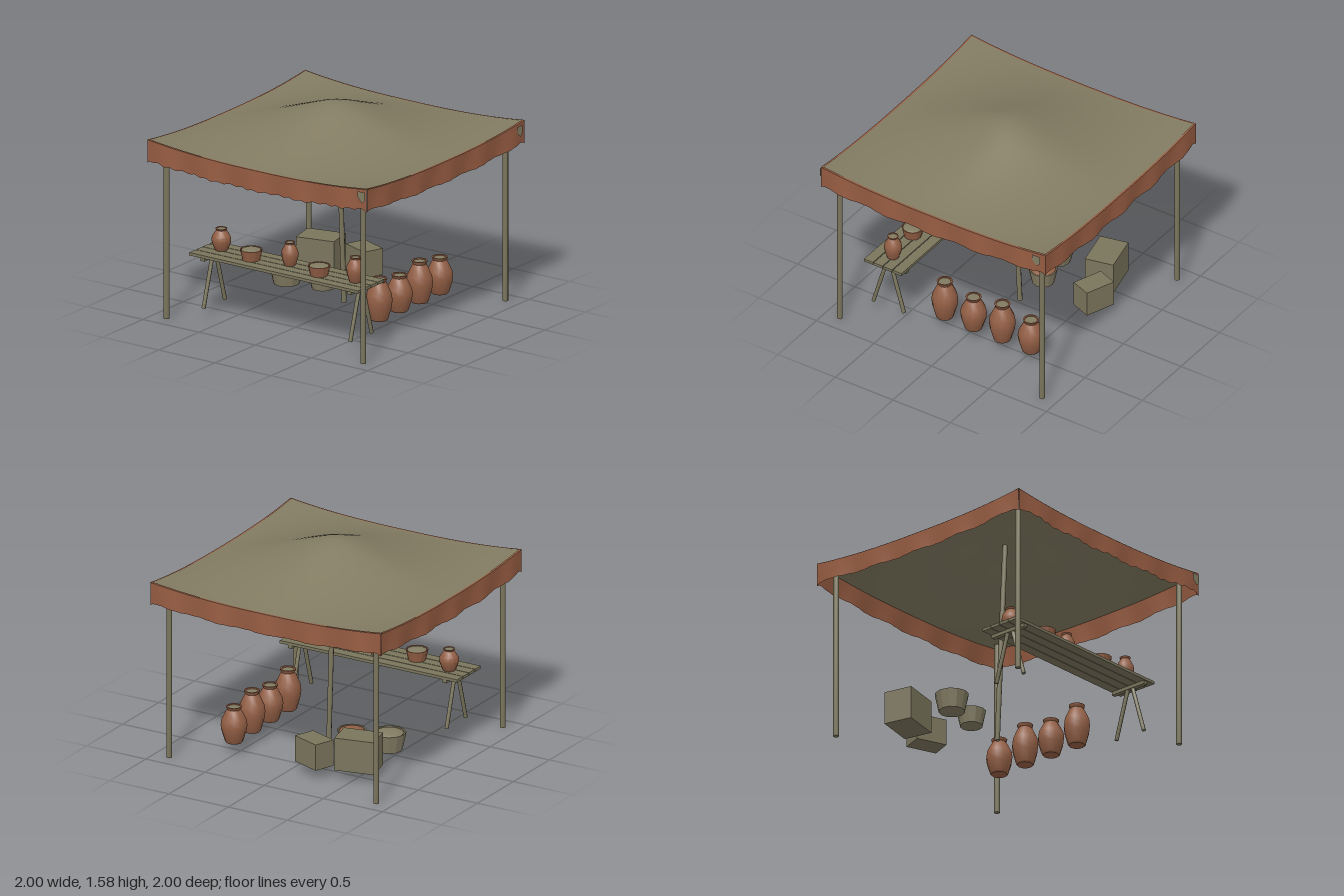
import * as THREE from 'three';
import { toCreasedNormals } from 'three/addons/utils/BufferGeometryUtils.js';

const mat = (name, color, side = THREE.FrontSide) => {
  const m = new THREE.MeshStandardMaterial({ color, side });
  m.name = name;
  return m;
};

export function createModel() {
  const group = new THREE.Group();
  const canvas = mat('olive canvas', 0x827b62, THREE.DoubleSide);
  const wood = mat('weathered wood', 0x7a755c);
  const clay = mat('brown clay', 0x935f45, THREE.DoubleSide);
  const trim = mat('brown cloth', 0x935a40, THREE.DoubleSide);

  const add = (name, geo, material, x = 0, y = 0, z = 0, ry = 0) => {
    const m = new THREE.Mesh(geo, material);
    m.name = name;
    m.position.set(x, y, z);
    m.rotation.y = ry;
    group.add(m);
    return m;
  };
  // Round stick between two points
  const stick = (name, a, b, r) => {
    const p = new THREE.Vector3(...a), q = new THREE.Vector3(...b);
    const geo = toCreasedNormals(new THREE.CylinderGeometry(r, r, p.distanceTo(q), 8), 0.9);
    const m = add(name, geo, wood);
    m.position.copy(p).add(q).multiplyScalar(0.5);
    m.quaternion.setFromUnitVectors(new THREE.Vector3(0, 1, 0), q.sub(p).normalize());
  };

  // Canopy: peaked cloth with raised corners and sagging edges
  const H = 0.975;
  const edgeY = (t) => 1.315 + 0.05 * Math.pow(Math.abs(t), 2.5);
  const peak = (u) => {
    const s = (Math.sqrt(u * u + 0.02) - 0.1414) / (1.00995 - 0.1414);
    return Math.pow(Math.max(0, 1 - s), 1.35);
  };
  const roof = new THREE.PlaneGeometry(2 * H, 2 * H, 40, 40).rotateX(-Math.PI / 2);
  const rp = roof.attributes.position;
  for (let i = 0; i < rp.count; i++) {
    const u = rp.getX(i) / H, v = rp.getZ(i) / H;
    rp.setY(i, 1.315 + 0.05 * Math.pow(Math.abs(u * v), 2.5) + 0.27 * peak(u) * peak(v));
  }
  roof.computeVertexNormals();
  add('canopy', roof, canvas);

  // Valance: billowing strip on each side, with a thin hem on the roof edge
  for (let side = 0; side < 4; side++) {
    const strip = new THREE.PlaneGeometry(2, 1, 80, 5);
    const hem = new THREE.PlaneGeometry(2, 1, 40, 1);
    const sp = strip.attributes.position, hp = hem.attributes.position;
    for (let i = 0; i < sp.count; i++) {
      const t = sp.getX(i), v = 0.5 - sp.getY(i);
      const billow = v * (0.011 + 0.011 * Math.cos(5 * Math.PI * t + side * 0.0));
      const ripple = 0.006 * Math.sin(t * 58) * (side === 0 ? 1 : 0.3);
      const drop = 0.15 + ripple + 0.025 * Math.pow(Math.abs(t), 40);
      sp.setXYZ(i, t * H, edgeY(t) + 0.003 - v * drop, H + 0.002 + billow);
    }
    for (let i = 0; i < hp.count; i++) {
      const t = hp.getX(i), inner = hp.getY(i) > 0;
      const w = inner ? 0.015 : 0;
      hp.setXYZ(i, t * (H - w), edgeY(t) + 0.004, H + 0.002 - w);
    }
    for (const g of [strip, hem]) g.computeVertexNormals();
    add('valance', strip, trim, 0, 0, 0, side * Math.PI / 2);
    add('valanceHem', hem, trim, 0, 0, 0, side * Math.PI / 2);
  }

  // Cloth patches near the corners
  const patchShape = new THREE.Shape([[-0.045, 0.04], [-0.04, -0.01], [0, -0.045], [0.025, -0.02], [0.025, 0.04]]
    .map((p) => new THREE.Vector2(...p)));
  const patch = new THREE.ShapeGeometry(patchShape);
  add('patch', patch, canvas, 0.945, 1.305, H + 0.014);
  add('patch', patch, canvas, H + 0.014, 1.305, -0.91, Math.PI / 2);

  // Four corner posts and a leaning centre pole
  for (const x of [-0.875, 0.875]) for (const z of [-0.88, 0.88])
    stick('cornerPost', [x, 0, z], [x, 1.335, z], 0.021);
  stick('centrePole', [0, 0.03, -0.1], [0, 1.56, -0.025], 0.019);

  // Trestle table with four planks
  for (let i = 0; i < 4; i++)
    add('tablePlank', new THREE.BoxGeometry(1.5, 0.022, 0.077), wood, -0.01, 0.481, 0.473 + i * 0.083);
  for (const x of [-0.65, 0.655]) {
    add('tableCrossbar', new THREE.BoxGeometry(0.035, 0.026, 0.31), wood, x, 0.457, 0.595);
    stick('tableLeg', [x, 0.455, 0.625], [x, 0.08, 0.735], 0.015);
    stick('tableLeg', [x, 0.455, 0.58], [x, 0.08, 0.47], 0.015);
  }

  // Clay jar with a narrow neck, flared rim and filled mouth
  const jar = (x, y, z, r, h) => {
    const profile = [[0, 0], [0.6, 0], [0.68, 0.03], [0.94, 0.32], [1, 0.48], [0.94, 0.64],
      [0.62, 0.86], [0.5, 0.92], [0.58, 0.96], [0.61, 1], [0.48, 1], [0.46, 0.96]];
    const geo = new THREE.LatheGeometry(profile.map(([a, b]) => new THREE.Vector2(a * r, b * h)), 12);
    add('jar', toCreasedNormals(geo, 0.6), clay, x, y, z);
    add('jarFilling', new THREE.CircleGeometry(0.47 * r, 12).rotateX(-Math.PI / 2), canvas, x, y + 0.975 * h, z);
  };
  [[0.2, 0.317], [-0.05, 0.277], [-0.3, 0.317], [-0.55, 0.277]].forEach(([z, h]) => jar(0.528, 0.08, z, 0.097, h));
  jar(-0.607, 0.492, 0.575, 0.072, 0.166);
  jar(0, 0.492, 0.57, 0.063, 0.178);
  jar(0.603, 0.492, 0.6, 0.066, 0.19);

  // Tapered basket heaped with goods
  const basket = (x, y, z, r, h, shell, filling) => {
    const profile = [[0, 0], [0.77, 0], [1, 0.9], [0.9, 0.9], [0.88, 0.8]];
    const geo = new THREE.LatheGeometry(profile.map(([a, b]) => new THREE.Vector2(a * r, b * h)), 12);
    add('basket', toCreasedNormals(geo, 0.3), shell, x, y, z);
    const heap = new THREE.SphereGeometry(0.9 * r, 12, 4, 0, Math.PI * 2, 0, Math.PI / 2);
    heap.scale(1, 0.2 * h / (0.9 * r), 1);
    add('basketFilling', heap, filling, x, y + 0.8 * h, z);
  };
  basket(-0.302, 0.492, 0.63, 0.083, 0.09, clay, canvas);
  basket(0.302, 0.492, 0.63, 0.083, 0.085, clay, canvas);
  basket(-0.505, 0.08, -0.09, 0.125, 0.15, canvas, canvas);
  basket(-0.225, 0.08, -0.15, 0.107, 0.13, canvas, clay);

  // Two crates
  add('largeCrate', new THREE.BoxGeometry(0.3, 0.25, 0.22), wood, -0.505, 0.205, -0.515, 0.22);
  add('smallCrate', new THREE.BoxGeometry(0.24, 0.2, 0.165), wood, -0.19, 0.18, -0.615, -0.36);

  return group;
}
